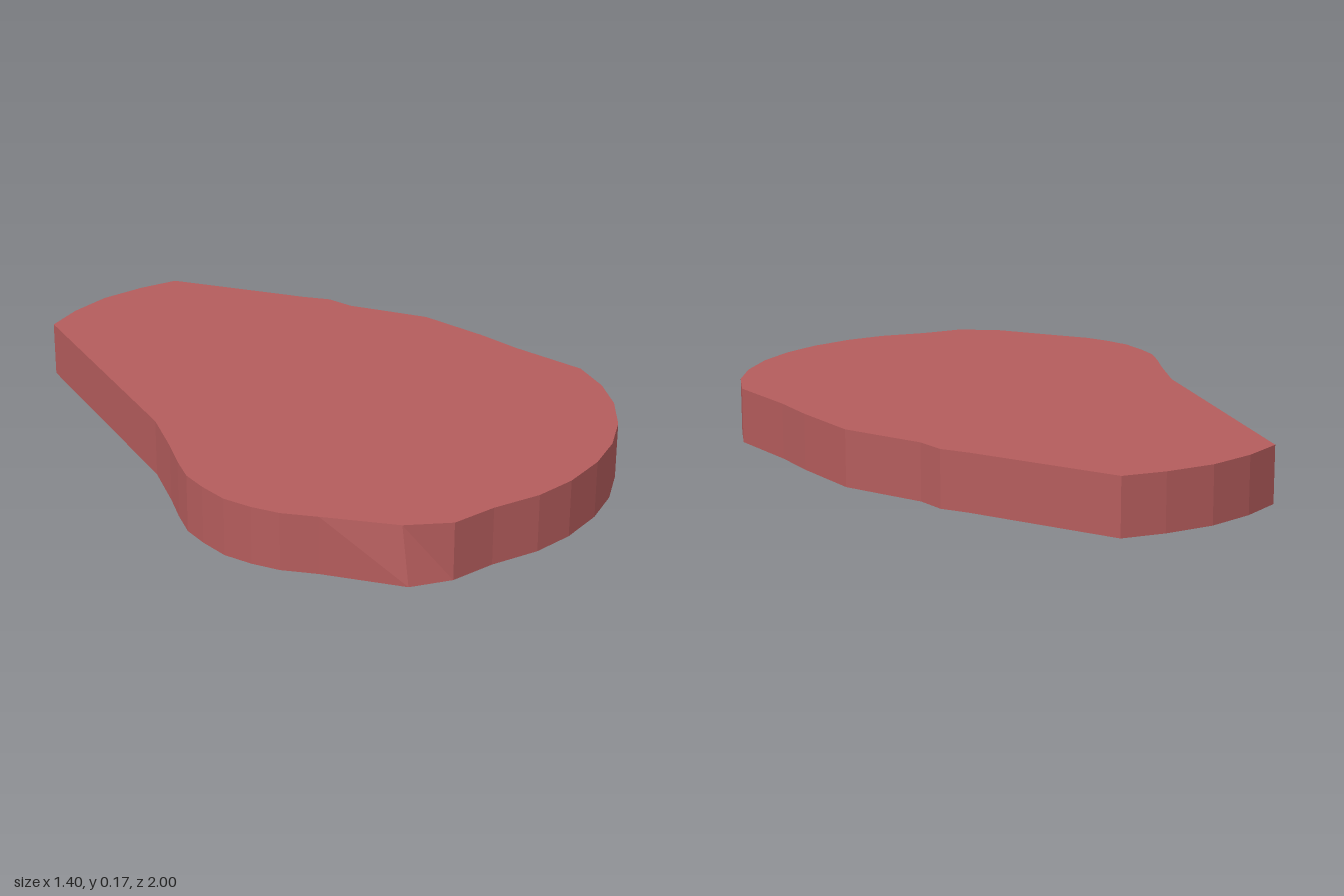
import * as THREE from 'three';

const HEIGHT = 0.17;

// Slab outline as [x, z], starting at the back right corner
const OUTLINE = [
  [-0.41, -0.88], [-0.29, -0.945], [-0.15, -0.99], [0, -1], [0.13, -0.99],
  [0.39, -0.6], [0.445, -0.53], [0.465, -0.44], [0.53, -0.33], [0.6, -0.21],
  [0.64, 0.02], [0.655, 0.17], [0.7, 0.415], [0.66, 0.55], [0.595, 0.67],
  [0.5, 0.785], [0.39, 0.875], [0.27, 0.94], [0.13, 0.985], [0, 1],
  [-0.15, 0.985], [-0.29, 0.99], [-0.41, 0.95], [-0.555, 0.75], [-0.625, 0.67],
  [-0.665, 0.595], [-0.695, 0.51], [-0.7, 0.415], [-0.695, 0.33], [-0.665, 0.24],
  [-0.625, 0.14], [-0.565, -0.03],
];

export function createModel() {
  const group = new THREE.Group();
  group.name = 'steppingSlab';

  const red = new THREE.MeshStandardMaterial({ color: 0xb45c5c });
  red.name = 'dustyRed';

  // Extrude the outline, then lay it flat on the ground
  const shape = new THREE.Shape(OUTLINE.map(([x, z]) => new THREE.Vector2(x, -z)));
  const geometry = new THREE.ExtrudeGeometry(shape, { depth: HEIGHT, bevelEnabled: false });
  geometry.rotateX(-Math.PI / 2);

  // Pull the top of the front right corner in, so its wall leans slightly
  const p = geometry.attributes.position;
  for (let i = 0; i < p.count; i++) {
    const atCorner = Math.abs(p.getX(i) + 0.41) < 1e-3 && Math.abs(p.getZ(i) - 0.95) < 1e-3;
    if (atCorner && p.getY(i) > HEIGHT / 2) p.setZ(i, 0.92);
  }
  geometry.computeVertexNormals(); // unshared corners keep every facet flat

  const slab = new THREE.Mesh(geometry, red);
  slab.name = 'slab';
  group.add(slab);
  return group;
}
